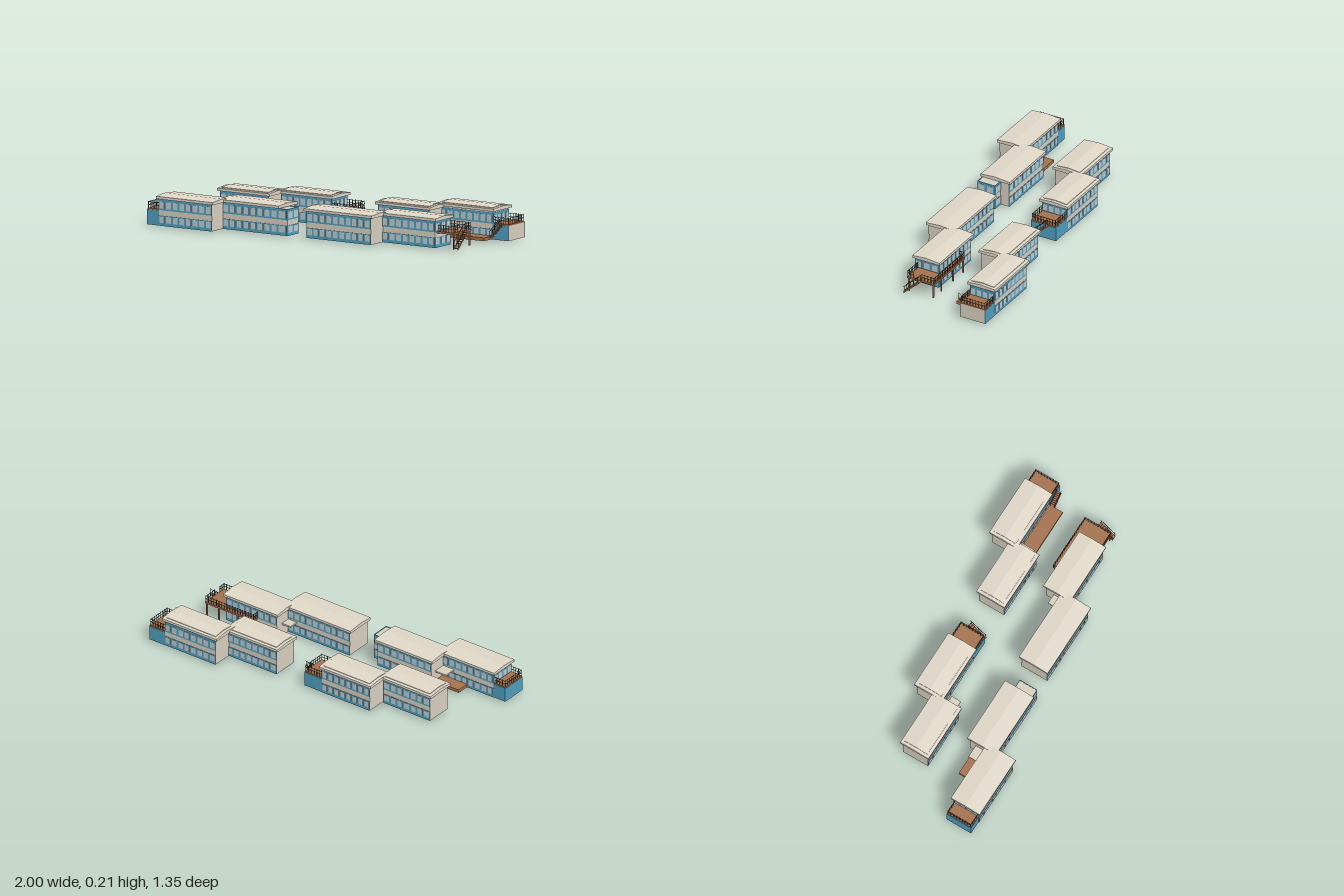
import * as THREE from 'three';

const mat = (color) => new THREE.MeshStandardMaterial({ color });
const cream = mat(0xd8d0c0), blue = mat(0x4f9fc0), pane = mat(0xbccbd0);
const wood = mat(0xa5714c), metal = mat(0x4a4440), roofMat = mat(0xe0d8c8);
const BASE = 0.012, EAVE = 0.176, FLOOR = 0.112, YAW = 0.23;

// Box given by its low and high corners
function box(parent, name, m, x0, x1, y0, y1, z0, z1) {
  const mesh = new THREE.Mesh(new THREE.BoxGeometry(x1 - x0, y1 - y0, z1 - z0), m);
  mesh.position.set((x0 + x1) / 2, (y0 + y1) / 2, (z0 + z1) / 2);
  mesh.name = name;
  parent.add(mesh);
  return mesh;
}

// Blue cladding with a window row per storey, facing local +z
function facade(parent, x, z, width, angle, storeys = [0, 1]) {
  const g = new THREE.Group();
  g.name = 'facade';
  g.position.set(x, 0, z);
  g.rotation.y = angle;
  const rows = [[BASE, 0.075, 0.031, 0.071], [0.108, 0.175, 0.118, 0.161]];
  const n = Math.max(1, Math.round(width / 0.048)), pitch = width / n;
  for (const s of storeys) {
    const [y0, y1, w0, w1] = rows[s];
    box(g, 'cladding', blue, -width / 2, width / 2, y0, y1, -0.002, 0.002);
    for (let i = 0; i < n; i++) {
      const c = -width / 2 + (i + 0.5) * pitch;
      box(g, 'window', pane, c - pitch * 0.35, c + pitch * 0.35, w0, w1, 0, 0.0035);
    }
  }
  parent.add(g);
}

// Low gabled slab running along x
function roof(parent, name, L, W, y, rise, thick) {
  const h = W / 2, s = new THREE.Shape();
  s.moveTo(-h, 0);
  s.lineTo(h, 0);
  s.lineTo(h, thick);
  s.lineTo(0, thick + rise);
  s.lineTo(-h, thick);
  const geo = new THREE.ExtrudeGeometry(s, { depth: L, bevelEnabled: false });
  geo.translate(0, 0, -L / 2).rotateY(Math.PI / 2);
  const mesh = new THREE.Mesh(geo, roofMat);
  mesh.position.y = y;
  mesh.name = name;
  parent.add(mesh);
}

// Railing along a polyline of [x, z] points
function railing(parent, pts, y = FLOOR) {
  const g = new THREE.Group();
  g.name = 'railing';
  for (let k = 0; k + 1 < pts.length; k++) {
    const [ax, az] = pts[k], [bx, bz] = pts[k + 1];
    const len = Math.hypot(bx - ax, bz - az), n = Math.max(1, Math.round(len / 0.02));
    for (let i = 0; i <= n; i++) {
      const x = ax + (bx - ax) * i / n, z = az + (bz - az) * i / n;
      box(g, 'railPost', metal, x - 0.0015, x + 0.0015, y, y + 0.042, z - 0.0015, z + 0.0015);
    }
    for (const h of [0.02, 0.038]) {
      const bar = box(g, 'rail', metal, -len / 2, len / 2, -0.0012, 0.0012, -0.0012, 0.0012);
      bar.position.set((ax + bx) / 2, y + h, (az + bz) / 2);
      bar.rotation.y = Math.atan2(az - bz, bx - ax);
    }
  }
  parent.add(g);
}

// Open stair descending along local +z from its top
function stair(parent, x, z, run, width, top, bottom, angle) {
  const g = new THREE.Group();
  g.name = 'stair';
  g.position.set(x, 0, z);
  g.rotation.y = angle;
  const n = 8, drop = top - bottom;
  for (let i = 0; i < n; i++) {
    const y = top - drop * (i + 0.5) / n, c = run * (i + 0.5) / n;
    box(g, 'step', wood, -width / 2, width / 2, y - 0.003, y + 0.002, c - run / n * 0.6, c + run / n * 0.6);
  }
  for (const side of [-1, 1]) {
    for (const [lift, m, t] of [[-0.004, wood, 0.007], [0.036, metal, 0.003]]) {
      const b = box(g, lift < 0 ? 'stringer' : 'handrail', m, -0.0015, 0.0015, -t / 2, t / 2,
        -Math.hypot(run, drop) / 2, Math.hypot(run, drop) / 2);
      b.position.set(side * width / 2, (top + bottom) / 2 + lift, run / 2);
      b.rotation.x = Math.atan2(drop, run);
    }
    for (const t of [0.05, 0.5, 0.95]) {
      const y = top - drop * t, c = run * t, sx = side * width / 2;
      box(g, 'handrailPost', metal, sx - 0.0012, sx + 0.0012, y, y + 0.036, c - 0.0012, c + 0.0012);
    }
  }
  parent.add(g);
}

// Two-storey block with gabled roof
function block(root, name, x, z, L, W, { panel = false, lift = 0, ends = [] } = {}) {
  const g = new THREE.Group();
  g.name = name;
  g.position.set(x, 0, z);
  g.rotation.y = YAW;
  const l = L / 2 - 0.014, w = W / 2 - 0.013;
  box(g, 'walls', cream, -l, l, BASE, EAVE + 0.004 + lift, -w, w);
  facade(g, 0, w, 2 * l, 0);
  facade(g, 0, -w, 2 * l, Math.PI);
  for (const s of ends) facade(g, s * l, 0, 2 * w, s * Math.PI / 2);
  roof(g, 'roof', L, W, EAVE + lift, 0.008, 0.016);
  if (panel) roof(g, 'raisedRoof', L - 0.04, W - 0.04, EAVE + 0.016 + lift, 0.007, 0.005);
  root.add(g);
  return g;
}

// Ground-floor wing with a railed terrace on top
function terrace(g, x0, x1, w, end, clad) {
  box(g, 'terraceBase', cream, x0, x1, BASE, FLOOR - 0.008, -w, w);
  box(g, 'terraceFloor', wood, x0, x1, FLOOR - 0.008, FLOOR, -w, w);
  const outer = end > 0 ? x1 : x0, inner = end > 0 ? x0 : x1;
  for (const s of [-1, 1]) {
    box(g, 'terraceCladding', blue, x0, x1, BASE, FLOOR - 0.008, s * w - 0.002, s * w + 0.002);
  }
  if (clad) box(g, 'terraceCladding', blue, outer - 0.002, outer + 0.002, BASE, FLOOR - 0.008, -w, w);
  const i = w - 0.004, o = outer - end * 0.004;
  railing(g, [[inner, -i], [o, -i], [o, i], [inner, i]]);
}

export function createModel() {
  const root = new THREE.Group();
  root.name = 'buildingCluster';

  // Front left pair
  const a1 = block(root, 'frontLeftOuterBlock', -0.714, 0.517, 0.413, 0.204, { ends: [-1] });
  terrace(a1, -0.278, -0.192, 0.085, -1, true);
  const a2 = block(root, 'frontLeftInnerBlock', -0.362, 0.311, 0.434, 0.204);
  box(a2, 'endBay', cream, 0.2, 0.272, BASE, 0.172, -0.03, 0.089);
  facade(a2, 0.272, 0.03, 0.118, Math.PI / 2);
  facade(a2, 0.236, 0.089, 0.072, 0);
  facade(a2, 0.236, -0.03, 0.072, Math.PI);
  box(a2, 'lowDeck', wood, -0.385, -0.2, 0.014, 0.034, -0.057, 0.05);
  box(a2, 'canopy', cream, -0.285, -0.2, 0.09, 0.1, -0.05, 0.03);

  // Back left pair
  const b1 = block(root, 'backLeftOuterBlock', -0.695, 0.05, 0.38, 0.2, { panel: true });
  box(b1, 'entranceSlab', cream, 0.17, 0.255, 0, BASE, -0.01, 0.055);
  box(b1, 'canopy', cream, 0.17, 0.255, 0.09, 0.1, -0.01, 0.055);
  const b2 = block(root, 'backLeftInnerBlock', -0.367, -0.155, 0.39, 0.2, { panel: true, ends: [1] });
  terrace(b2, 0.18, 0.312, 0.085, 1, true);
  stair(b2, 0.329, -0.035, 0.11, 0.03, FLOOR, BASE + 0.004, 0);

  // Back right pair
  block(root, 'backRightInnerBlock', 0.325, -0.315, 0.4, 0.2, { panel: true });
  const c2 = block(root, 'backRightOuterBlock', 0.65, -0.53, 0.41, 0.195, { panel: true, lift: 0.008, ends: [1] });
  terrace(c2, 0.19, 0.306, 0.086, 1, false);
  box(c2, 'lowDeck', wood, -0.14, 0.19, 0.014, 0.034, 0.08, 0.18);
  box(c2, 'canopy', cream, -0.18, -0.125, 0.084, 0.094, 0.08, 0.175);
  stair(c2, 0.265, 0.107, 0.075, 0.03, FLOOR, 0.03, -Math.PI / 2);

  // Front right pair
  block(root, 'frontRightInnerBlock', 0.257, 0.155, 0.495, 0.204);
  const d2 = block(root, 'frontRightOuterBlock', 0.64, -0.06, 0.41, 0.19, { ends: [1] });
  box(d2, 'canopy', cream, -0.255, -0.18, 0.09, 0.1, -0.03, 0.04);
  box(d2, 'raisedDeck', wood, 0.18, 0.318, FLOOR - 0.012, FLOOR, -0.124, 0.064);
  box(d2, 'rearWalkway', wood, -0.047, 0.18, FLOOR - 0.012, FLOOR, -0.124, -0.08);
  railing(d2, [[-0.045, -0.085], [-0.045, -0.122], [0.315, -0.122], [0.315, -0.035]]);
  railing(d2, [[0.315, 0.02], [0.315, 0.061], [0.2, 0.061]]);
  for (const [px, pz] of [[0.31, 0.056], [0.31, -0.116], [0.22, -0.116], [0.08, -0.116], [-0.04, -0.116]]) {
    box(d2, 'deckPost', wood, px - 0.004, px + 0.004, BASE, FLOOR - 0.01, pz - 0.004, pz + 0.004);
  }
  stair(d2, 0.334, -0.033, 0.105, 0.03, FLOOR, BASE + 0.004, 0);

  return root;
}
